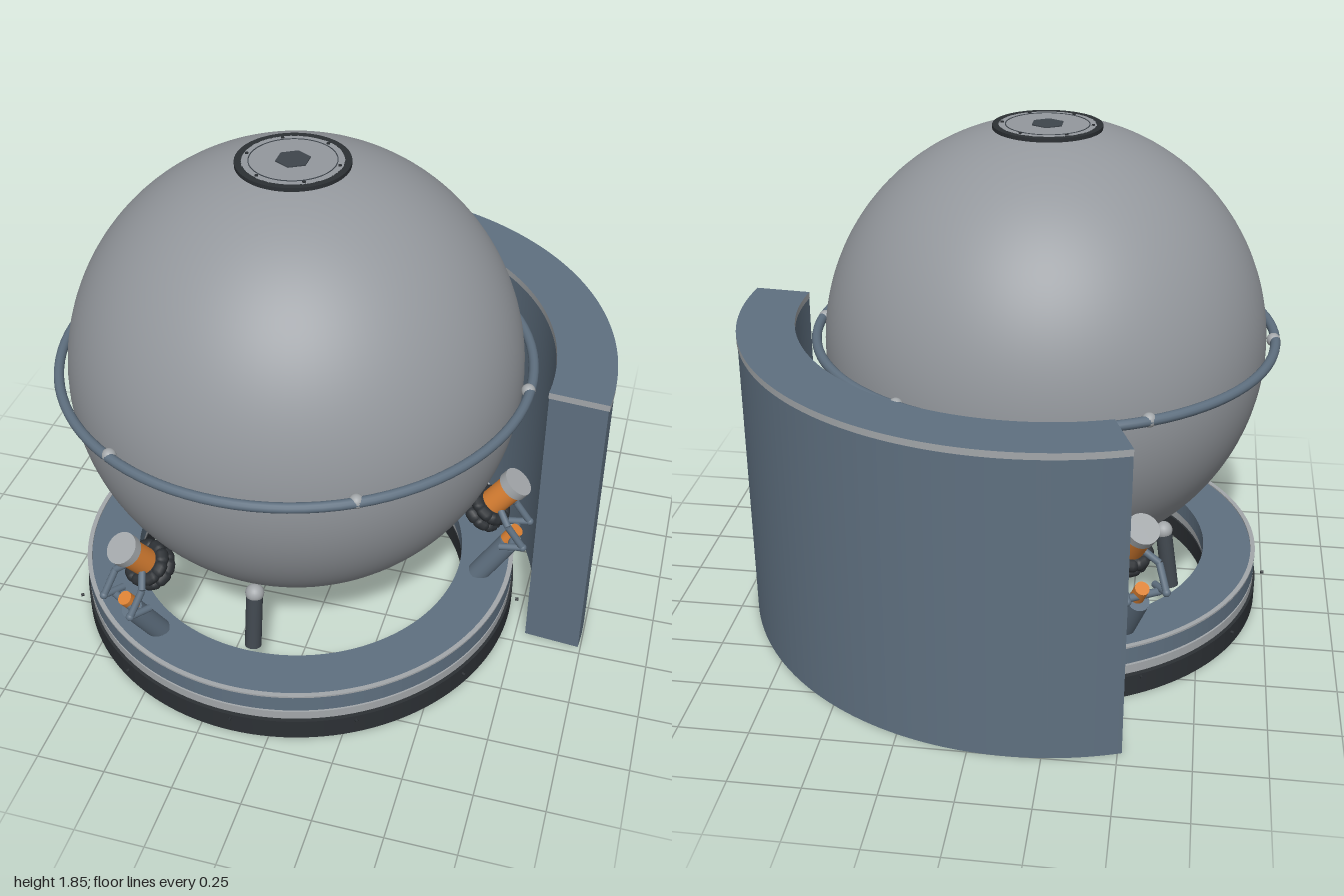
import * as THREE from 'three';

const V = (x, y, z = 0) => new THREE.Vector3(x, y, z);

export function createModel() {
  const mat = (name, color) => {
    const m = new THREE.MeshStandardMaterial({ color });
    m.name = name;
    return m;
  };
  const shellGrey = mat('shell grey', 0x94989d);
  const lightGrey = mat('light grey', 0xa3a7aa);
  const slate = mat('slate', 0x5f7080);
  const dark = mat('dark rubber', 0x2c3034);
  const post = mat('post grey', 0x3f464d);
  const orange = mat('orange', 0xdc8133);

  const add = (parent, name, geo, material, pos) => {
    const m = new THREE.Mesh(geo, material);
    m.name = name;
    if (pos) m.position.copy(pos);
    parent.add(m);
    return m;
  };
  // cylinder between two points
  const rod = (parent, name, a, b, r, material, sides = 24) => {
    const d = b.clone().sub(a);
    const m = add(parent, name, new THREE.CylinderGeometry(r, r, d.length(), sides), material,
      a.clone().add(b).multiplyScalar(0.5));
    m.quaternion.setFromUnitVectors(V(0, 1, 0), d.normalize());
    return m;
  };
  const ball = (parent, name, p, r, material) =>
    add(parent, name, new THREE.SphereGeometry(r, 20, 14), material, p);
  // horizontal ring sector, angles measured from +x towards the back
  const ring = (parent, name, rIn, rOut, y0, y1, material, a0, a1) => {
    const s = new THREE.Shape();
    if (a0 === undefined) {
      s.absarc(0, 0, rOut, 0, Math.PI * 2, false);
      const hole = new THREE.Path();
      hole.absarc(0, 0, rIn, 0, Math.PI * 2, true);
      s.holes.push(hole);
    } else {
      s.absarc(0, 0, rOut, a0, a1, false);
      s.absarc(0, 0, rIn, a1, a0, true);
      s.closePath();
    }
    const g = new THREE.ExtrudeGeometry(s, { depth: y1 - y0, bevelEnabled: false, curveSegments: 72 });
    g.rotateX(-Math.PI / 2);
    return add(parent, name, g, material, V(0, y0, 0));
  };
  const deg = THREE.MathUtils.degToRad;

  const model = new THREE.Group();
  const body = new THREE.Group();
  body.name = 'simulator';
  body.position.set(-0.13, 0, 0.12);
  model.add(body);

  // spherical capsule with flattened poles
  const R = 0.81, cy = 1.05, cut = 0.2;
  add(body, 'sphere', new THREE.SphereGeometry(R, 96, 64, 0, Math.PI * 2, cut, Math.PI - 2 * cut), shellGrey, V(0, cy, 0));

  // pole hatches
  for (const s of [1, -1]) {
    const hatch = new THREE.Group();
    hatch.name = s > 0 ? 'topHatch' : 'bottomHatch';
    hatch.position.y = cy;
    if (s < 0) hatch.rotation.x = Math.PI;
    body.add(hatch);
    ring(hatch, 'hatchSeal', 0.17, 0.194, 0.775, 0.8, dark);
    add(hatch, 'hatchPlate', new THREE.CylinderGeometry(0.172, 0.172, 0.02, 64), shellGrey, V(0, 0.79, 0));
    ring(hatch, 'hatchGroove', 0.146, 0.149, 0.799, 0.802, post);
    if (s > 0) add(hatch, 'hexSocket', new THREE.CylinderGeometry(0.06, 0.06, 0.006, 6), post, V(0, 0.801, 0));
    for (let i = 0; i < 6; i++) {
      const a = deg(60 * i);
      add(hatch, 'hatchBolt', new THREE.CylinderGeometry(0.006, 0.006, 0.006, 8), dark,
        V(0.16 * Math.cos(a), 0.801, 0.16 * Math.sin(a)));
    }
  }

  // equatorial rail with ball joints
  const rail = add(body, 'rail', new THREE.TorusGeometry(0.842, 0.018, 12, 96), slate, V(0, 1.078, 0));
  rail.rotation.x = Math.PI / 2;
  for (let i = 0; i < 6; i++) {
    const a = deg(60 * i);
    ball(body, 'railJoint', V(0.835 * Math.cos(a), 1.078, 0.835 * Math.sin(a)), 0.025, lightGrey);
  }

  // layered base ring
  ring(body, 'baseFoot', 0.64, 0.836, 0, 0.082, dark);
  ring(body, 'baseGap', 0.65, 0.815, 0.082, 0.135, dark);
  ring(body, 'baseBand', 0.64, 0.828, 0.09, 0.124, lightGrey);
  ring(body, 'baseDeck', 0.63, 0.828, 0.132, 0.198, slate);
  ring(body, 'deckTrim', 0.812, 0.829, 0.196, 0.203, lightGrey);
  for (let i = 0; i < 12; i++) {
    const a = deg(30 * i), c = Math.cos(a), s = Math.sin(a);
    rod(body, 'baseBolt', V(0.858 * c, 0.09, 0.858 * s), V(0.87 * c, 0.09, 0.87 * s), 0.006, dark, 8);
  }

  // ball-tipped support posts
  for (const angle of [30, 150, 270]) {
    const g = new THREE.Group();
    g.name = 'supportPost';
    g.rotation.y = deg(angle);
    body.add(g);
    rod(g, 'post', V(0.59, 0.19), V(0.552, 0.4), 0.03, post);
    ball(g, 'postBall', V(0.549, 0.41), 0.034, lightGrey);
  }

  // drive units: strut, fork, omni wheel and motor, built along local +x
  const n = V(0.805, -0.593), t = V(0.593, 0.805);
  for (const angle of [0, 120, 240]) {
    const g = new THREE.Group();
    g.name = 'driveUnit';
    g.rotation.y = deg(angle);
    body.add(g);
    rod(g, 'strut', V(0.705, 0.19), V(0.815, 0.375), 0.04, slate);
    rod(g, 'strutHead', V(0.805, 0.385), V(0.84, 0.44), 0.026, orange);
    rod(g, 'forkBar', V(0.83, 0.405, -0.075), V(0.83, 0.405, 0.075), 0.014, slate, 12);
    for (const s of [1, -1]) {
      const z = 0.075 * s;
      rod(g, 'forkArm', V(0.79, 0.41, z), V(0.875, 0.425, z), 0.013, slate, 12);
      rod(g, 'forkArm', V(0.875, 0.425, z), V(0.815, 0.51, z), 0.013, slate, 12);
      ball(g, 'forkElbow', V(0.875, 0.425, z), 0.015, slate);
      rod(g, 'forkClamp', V(0.815, 0.51, z), V(0.775, 0.55, z * 0.4), 0.013, slate, 12);
    }

    // axle group: local y runs along the motor axis
    const axle = new THREE.Group();
    axle.name = 'wheelAndMotor';
    axle.position.set(0.72, 0.52, 0);
    axle.quaternion.setFromRotationMatrix(new THREE.Matrix4().makeBasis(n, t, V(0, 0, 1)));
    g.add(axle);
    add(axle, 'wheelCore', new THREE.CylinderGeometry(0.062, 0.062, 0.085, 24), dark);
    for (const row of [0, 1]) {
      for (let i = 0; i < 9; i++) {
        const a = ((i + row / 2) / 9) * Math.PI * 2;
        const roller = add(axle, 'roller', new THREE.CapsuleGeometry(0.024, 0.018, 4, 10), dark,
          V(0.063 * Math.cos(a), row ? 0.023 : -0.023, 0.063 * Math.sin(a)));
        roller.quaternion.setFromUnitVectors(V(0, 1, 0), V(-Math.sin(a), 0, Math.cos(a)));
      }
    }
    rod(axle, 'hub', V(0, -0.065, 0), V(0, -0.03, 0), 0.028, lightGrey);
    rod(axle, 'motor', V(0, 0.04, 0), V(0, 0.16, 0), 0.05, orange, 32);
    rod(axle, 'motorCap', V(0, 0.15, 0), V(0, 0.185, 0), 0.058, lightGrey, 32);
  }

  // curved shield wall with a pale edged coping
  const a0 = deg(-5), a1 = deg(110);
  ring(body, 'shieldWall', 0.92, 1.125, 0, 1.118, slate, a0, a1);
  ring(body, 'shieldCoping', 0.918, 1.128, 1.118, 1.142, [slate, lightGrey], a0, a1);

  return model;
}
